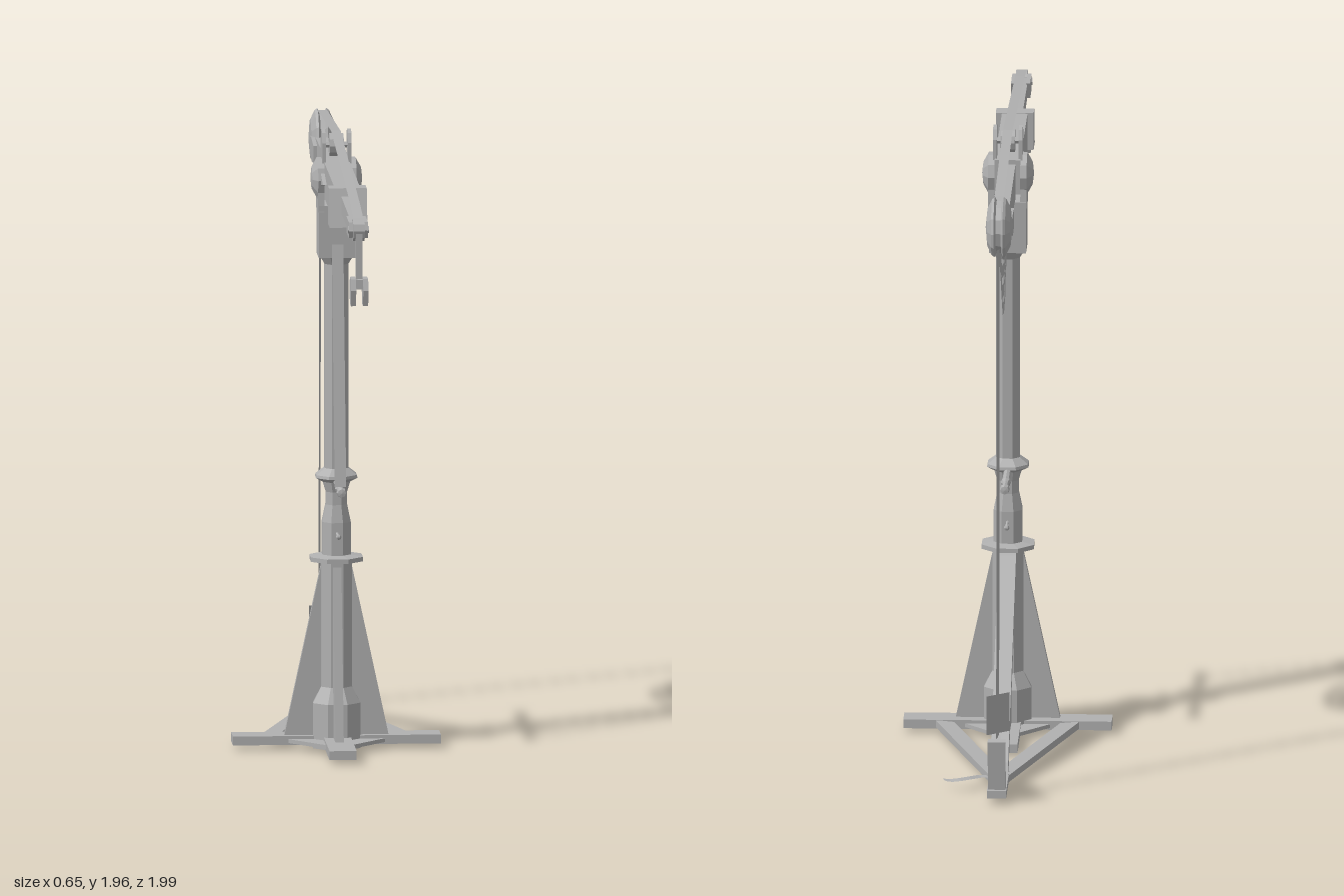
import * as THREE from 'three';

const CZ = -0.113; // depth of the mast axis

export function createModel() {
  const grey = new THREE.MeshStandardMaterial({ color: 0xb0b0b0, flatShading: true, side: THREE.DoubleSide });
  grey.name = 'grey';
  const model = new THREE.Group();
  model.name = 'dockCrane';

  const add = (name, geo, x = 0, y = 0, z = 0) => {
    const m = new THREE.Mesh(geo, grey);
    m.name = name;
    m.position.set(x, y, z);
    model.add(m);
    return m;
  };
  const box = (name, w, h, d, x, y, z) => add(name, new THREE.BoxGeometry(w, h, d), x, y, z);
  // side profile of [z, y] points with a width across x
  const side = (name, pts, width, x = 0) => {
    const g = new THREE.ExtrudeGeometry(new THREE.Shape(pts.map(p => new THREE.Vector2(...p))), { depth: width, bevelEnabled: false });
    g.translate(0, 0, -width / 2).rotateY(-Math.PI / 2);
    return add(name, g, x);
  };
  // flat polygon of [x, z] points, lying on the ground plane
  const flat = (name, pts, y, h) => {
    const g = new THREE.ExtrudeGeometry(new THREE.Shape(pts.map(p => new THREE.Vector2(p[0], -p[1]))), { depth: h, bevelEnabled: false });
    return add(name, g.rotateX(-Math.PI / 2), 0, y);
  };
  const lathe = (pts, n) => new THREE.LatheGeometry(pts.map(p => new THREE.Vector2(...p)), n);
  // open ribbon along points, spread by an offset to both sides
  const strip = (name, pts, off) => {
    const pos = [], idx = [];
    pts.forEach((p, i) => {
      pos.push(...p.map((v, k) => v - off[k]), ...p.map((v, k) => v + off[k]));
      if (i) idx.push(2 * i - 2, 2 * i - 1, 2 * i, 2 * i - 1, 2 * i + 1, 2 * i);
    });
    const g = new THREE.BufferGeometry();
    g.setAttribute('position', new THREE.Float32BufferAttribute(pos, 3));
    g.setIndex(idx);
    g.computeVertexNormals();
    return add(name, g);
  };

  // Cross-shaped base with a diamond gusset
  box('baseCrossBeam', 0.65, 0.028, 0.085, 0, 0.028, CZ - 0.01);
  box('baseLongBeam', 0.085, 0.028, 0.65, 0, 0.027, CZ);
  flat('baseGusset', [[0.18, CZ], [0, CZ - 0.2], [-0.18, CZ], [0, CZ + 0.2]], 0.02, 0.012);
  for (const s of [-1, 1]) {
    flat('rearStay', [[s * 0.225, -0.16], [s * 0.165, -0.18], [s * 0.0, -0.72], [s * 0.0, -0.84], [s * 0.03, -0.8]], 0.018, 0.022);
  }
  box('tailPlank', 0.06, 0.024, 0.25, 0, 0.03, -0.865);

  // Mast, turned from one profile
  add('mast', lathe([[0, 0], [0.08, 0.002], [0.08, 0.145], [0.052, 0.195], [0.052, 0.59], [0.088, 0.592], [0.088, 0.606],
    [0.048, 0.612], [0.048, 0.715], [0.036, 0.77], [0.036, 0.81], [0.046, 0.842], [0.07, 0.855], [0.068, 0.864],
    [0.04, 0.885], [0.04, 1.53], [0.056, 1.555], [0, 1.56]], 8).rotateY(Math.PI / 8), 0, 0, CZ);

  // Four tapering fins round the mast foot
  for (let i = 0; i < 4; i++) {
    const fin = side('mastFin', [[0, 0.04], [0.163, 0.04], [0.058, 0.53], [0.045, 0.59], [0, 0.59]], 0.026);
    fin.position.z = CZ;
    fin.rotation.y = i * Math.PI / 2;
  }
  side('diagonalBrace', [[-0.155, 0.595], [-0.165, 0.53], [-0.745, 0.04], [-0.795, 0.04], [-0.775, 0.075], [-0.18, 0.58]], 0.055);

  // Turning handles
  const handle = [[0, -0.27], [0.013, -0.268], [0.016, -0.25], [0.01, -0.235], [0.01, -0.19], [0.016, -0.175], [0.012, -0.15], [0.012, 0]];
  const mirrored = [...handle, ...handle.slice(0, -1).reverse().map(([r, y]) => [r, -y])];
  add('longHandle', lathe(mirrored, 8).rotateX(Math.PI / 2), 0, 0.846, CZ);
  add('shortHandle', new THREE.CylinderGeometry(0.005, 0.005, 0.23, 6).rotateX(Math.PI / 2), 0, 0.682, CZ);
  for (const s of [-1, 1]) add('shortHandleKnob', new THREE.SphereGeometry(0.009, 6, 4), 0, 0.682, CZ + s * 0.112);

  // Mast head: lower block, cheeks, rounded ears and pivot caps
  side('mastHead', [[-0.168, 1.555], [-0.058, 1.555], [-0.056, 1.72], [-0.17, 1.72]], 0.116);
  for (const s of [-1, 1]) {
    side('headCheek', [[-0.168, 1.7], [-0.056, 1.7], [-0.066, 1.83], [-0.16, 1.83]], 0.02, s * 0.05);
    side('headEar', [[-0.15, 1.8], [-0.076, 1.8], [-0.076, 1.915], [-0.09, 1.945], [-0.113, 1.955], [-0.136, 1.945], [-0.15, 1.915]], 0.012, s * 0.04);
    add('pivotCap', lathe([[0.066, 0], [0.066, 0.02], [0.035, 0.037], [0, 0.041]], 10).rotateZ(-s * Math.PI / 2), s * 0.04, 1.8, CZ);
    side('pivotPointer', [[-0.113, 1.835], [0.04, 1.803], [-0.113, 1.775]], 0.012, s * 0.046);
  }
  add('headPulley', new THREE.CylinderGeometry(0.036, 0.036, 0.044, 10).rotateZ(Math.PI / 2), 0, 1.905, CZ);
  add('headAxle', new THREE.CylinderGeometry(0.01, 0.01, 0.09, 6).rotateZ(Math.PI / 2), 0, 1.905, CZ);

  // Boom: housing, front jib, rear arm
  side('boomHousing', [[-0.165, 1.745], [0.39, 1.74], [0.39, 1.855], [-0.165, 1.855]], 0.08);
  side('housingCollar', [[0.38, 1.738], [0.47, 1.738], [0.435, 1.857], [0.38, 1.857]], 0.118);
  side('frontJib', [[0.4, 1.775], [0.9, 1.785], [0.9, 1.828], [0.4, 1.832]], 0.042);
  for (const s of [-1, 1]) {
    side('jibCheek', [[0.835, 1.78], [0.935, 1.782], [0.945, 1.805], [0.935, 1.832], [0.815, 1.832]], 0.012, s * 0.024);
    side('drumCheek', [[-0.6, 1.765], [-0.69, 1.757], [-0.79, 1.79], [-0.79, 1.825], [-0.69, 1.83], [-0.6, 1.82]], 0.012, s * 0.033);
  }
  side('rearArm', [[-0.15, 1.73], [-0.72, 1.757], [-0.72, 1.828], [-0.15, 1.842]], 0.05);
  add('tipPulley', new THREE.CylinderGeometry(0.036, 0.036, 0.036, 10).rotateZ(Math.PI / 2), 0, 1.808, 0.932);
  add('tipAxle', new THREE.CylinderGeometry(0.012, 0.012, 0.066, 6).rotateZ(Math.PI / 2), 0, 1.808, 0.932);

  // Rear drum with shallow domed sides
  add('rearDrum', lathe([[0, -0.042], [0.06, -0.036], [0.09, -0.022], [0.096, -0.014], [0.084, -0.008], [0.084, 0.008],
    [0.096, 0.014], [0.09, 0.022], [0.06, 0.036], [0, 0.042]], 12).rotateZ(Math.PI / 2), 0, 1.812, -0.793);

  // Ropes over the mast head and down to the long handle
  strip('topRope', [[0, 1.845, 0.932], [0, 1.862, 0.8], [0, 1.942, -0.09], [0, 1.945, -0.135], [0, 1.905, -0.77]], [0.015, 0, 0]);
  strip('handleRope', [[0, 1.6, -0.045], [0, 0.855, 0.086]], [0.018, 0, 0]);

  // Slack lines sagging between mast and drum
  const slack = [
    [[-0.16, 1.675], [-0.25, 1.605], [-0.4, 1.57], [-0.57, 1.605], [-0.7, 1.69], [-0.79, 1.76]],
    [[-0.16, 1.64], [-0.28, 1.56], [-0.42, 1.51], [-0.55, 1.535], [-0.69, 1.67], [-0.8, 1.75]],
    [[-0.16, 1.6], [-0.24, 1.575], [-0.31, 1.485], [-0.42, 1.45], [-0.53, 1.475], [-0.7, 1.655], [-0.81, 1.74]],
  ];
  for (const line of slack) strip('slackLine', line.map(([z, y]) => [0, y, z]), [0, 0.02, 0]);

  // Lifting line with its tag
  strip('liftLine', [[0, 1.76, -0.873], [0, 0.19, -0.9]], [0.004, 0, -0.016]);
  strip('lineTag', [[0, 0.2, -0.883], [0, 0.325, -0.883]], [0.035, 0, -0.028]);

  // Ground anchor: bent arm and upright claw
  side('anchorArm', [[-0.765, 0.035], [-0.81, 0.035], [-0.92, 0.105], [-0.955, 0.08], [-0.975, 0.12], [-0.97, 0.165], [-0.93, 0.175], [-0.89, 0.195], [-0.87, 0.16], [-0.8, 0.105]], 0.02);
  side('anchorClaw', [[-0.95, 0.04], [-0.975, 0.04], [-0.995, 0.2], [-0.97, 0.205]], 0.055);

  // Loose rope end on the ground
  strip('looseRope', [[0.0, 0.03, -0.775], [0.06, 0.03, -0.775], [0.09, 0.035, -0.815], [0.12, 0.035, -0.835], [0.15, 0.03, -0.83], [0.172, 0.02, -0.785]], [0.006, 0, 0.016]);

  // Hanging grab at the boom tip
  side('grabShank', [[0.945, 1.8], [0.966, 1.8], [0.966, 1.65], [0.945, 1.65]], 0.02);
  const jaw = [[0.935, 1.575], [0.985, 1.575], [0.998, 1.625], [0.985, 1.66], [0.935, 1.66], [0.918, 1.625]];
  for (const s of [-1, 1]) side('grabJaw', jaw, 0.016, s * 0.019);
  box('grabBridge', 0.03, 0.03, 0.05, 0, 1.642, 0.958);

  return model;
}
